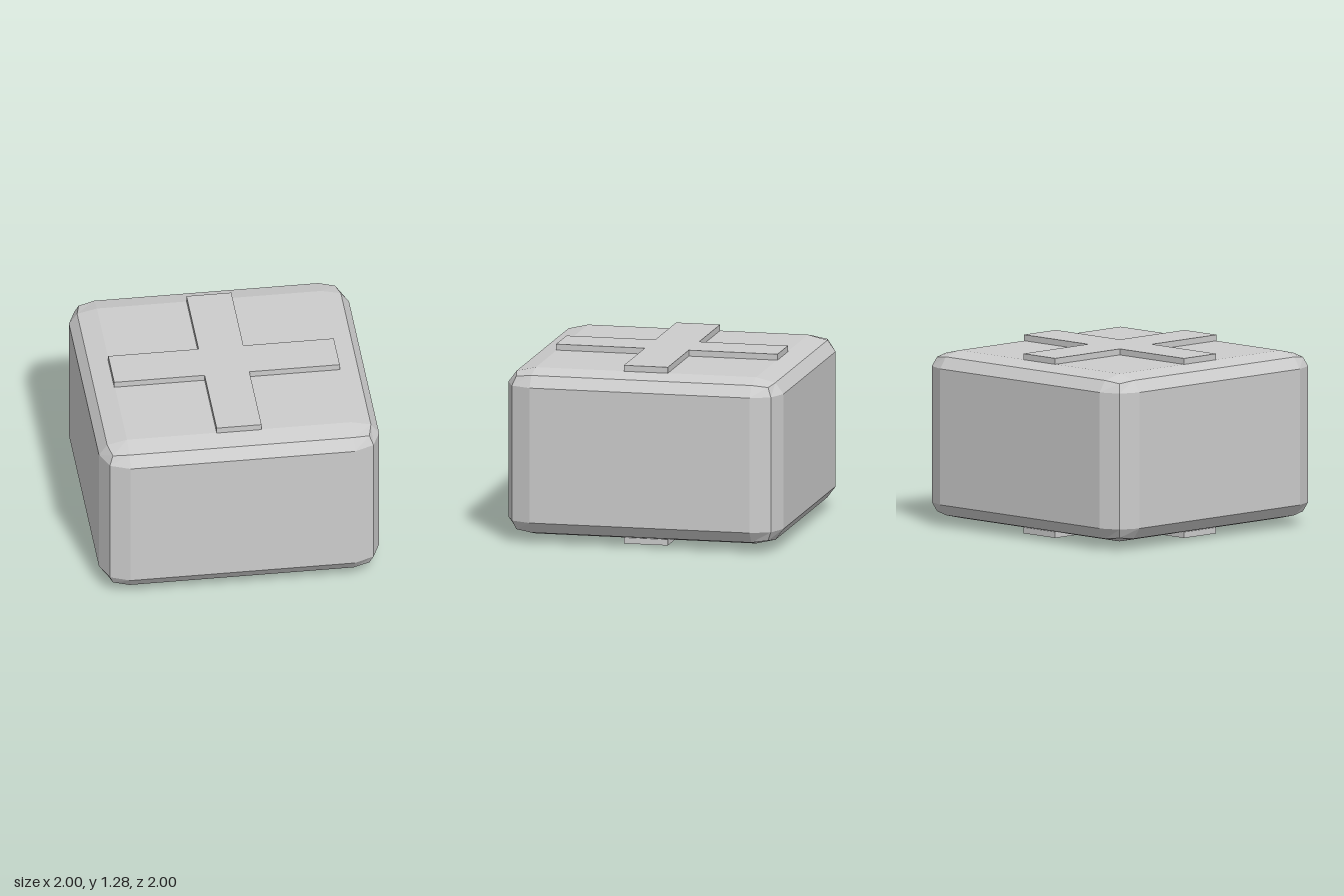
import * as THREE from 'three';
import { RoundedBoxGeometry } from 'three/addons/geometries/RoundedBoxGeometry.js';

const HEIGHT = 1.285;   // overall, including both crosses
const PLATE = 0.043;    // cross thickness
const ARM = 0.805;      // half length of a cross arm
const HALF = 0.16;      // half width of a cross arm
const SQUASH = 0.565;   // vertical flattening of the rounded edges

export function createModel() {
  const group = new THREE.Group();
  const grey = new THREE.MeshStandardMaterial({ color: 0xcccccc });
  grey.name = 'light grey';

  const add = (name, geometry, y) => {
    const mesh = new THREE.Mesh(geometry, grey);
    mesh.name = name;
    mesh.position.y = y;
    group.add(mesh);
  };

  // Block with two-facet rounded edges, flattened vertically
  const bodyHeight = HEIGHT - 2 * PLATE;
  const body = new RoundedBoxGeometry(2, bodyHeight / SQUASH, 2, 1, 0.2);
  body.scale(1, SQUASH, 1);
  body.computeVertexNormals(); // flat facets
  add('body', body, HEIGHT / 2);

  // Raised cross plates on the top and the underside
  const outline = [
    [HALF, ARM], [HALF, HALF], [ARM, HALF], [ARM, -HALF], [HALF, -HALF], [HALF, -ARM],
    [-HALF, -ARM], [-HALF, -HALF], [-ARM, -HALF], [-ARM, HALF], [-HALF, HALF], [-HALF, ARM],
  ].map(([x, y]) => new THREE.Vector2(x, y));
  const cross = new THREE.ExtrudeGeometry(new THREE.Shape(outline), { depth: PLATE, bevelEnabled: false });
  cross.rotateX(-Math.PI / 2);
  add('topCross', cross, HEIGHT - PLATE);
  add('bottomCross', cross, 0);

  return group;
}
